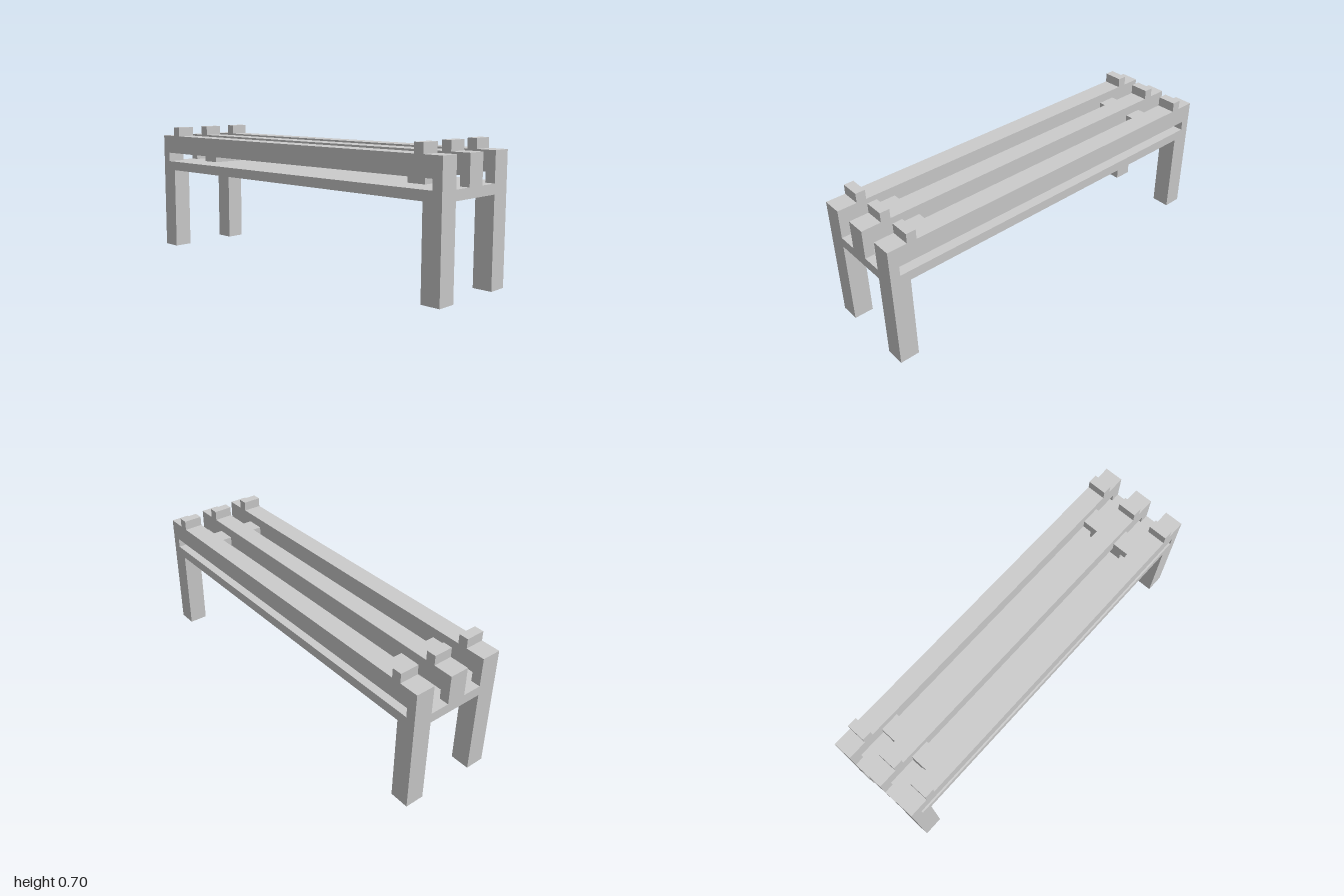
import * as THREE from 'three';

const material = new THREE.MeshStandardMaterial({ color: 0xcccccc, flatShading: true });

function addMesh(group, name, geometry, x, y, z) {
  const mesh = new THREE.Mesh(geometry, material);
  mesh.name = name;
  mesh.position.set(x, y, z);
  group.add(mesh);
  return mesh;
}

// Box given by its minimum and maximum corners
function addBox(group, name, [x0, y0, z0], [x1, y1, z1]) {
  const geometry = new THREE.BoxGeometry(x1 - x0, y1 - y0, z1 - z0);
  return addMesh(group, name, geometry, (x0 + x1) / 2, (y0 + y1) / 2, (z0 + z1) / 2);
}

// Long slotted rail with two raised pegs, with or without legs
function railGeometry(withLegs) {
  const half = [[1, 0.65], [0.9, 0.65], [0.9, 0.7], [0.85, 0.7], [0.85, 0.65]];
  const foot = withLegs ? [[0.9, 0.45], [0.9, 0], [1, 0]] : [[1, 0.45]];
  const right = [...foot, ...half];
  const left = right.map(([x, y]) => [-x, y]).reverse();
  const shape = new THREE.Shape([...right, ...left].map(([x, y]) => new THREE.Vector2(x, y)));

  const slot = [[-0.95, 0.5], [-0.95, 0.55], [0.95, 0.55], [0.95, 0.5]];
  shape.holes.push(new THREE.Path(slot.map(([x, y]) => new THREE.Vector2(x, y))));
  return new THREE.ExtrudeGeometry(shape, { depth: 0.1, bevelEnabled: false });
}

export function createModel() {
  const group = new THREE.Group();
  group.name = 'bench';

  // Outer rails with legs, and the middle rail
  addMesh(group, 'frontRailWithLegs', railGeometry(true), 0, 0, 0.15);
  addMesh(group, 'middleRail', railGeometry(false), 0, 0, -0.05);
  addMesh(group, 'backRailWithLegs', railGeometry(true), 0, 0, -0.25);

  // Deck strips closing the gaps between the rails
  addBox(group, 'frontDeckStrip', [-1, 0.45, 0.05], [1, 0.5, 0.15]);
  addBox(group, 'backDeckStrip', [-1, 0.45, -0.15], [1, 0.5, -0.05]);

  // Stepped cross braces near both ends
  for (const side of [-1, 1]) {
    const x0 = side * 0.75 - 0.05;
    const x1 = side * 0.75 + 0.05;
    const end = side > 0 ? 'left' : 'right';
    addBox(group, end + 'CrossBar', [x0, 0.55, -0.15], [x1, 0.6, 0.15]);
    addBox(group, end + 'CrossBarSpacer', [x0, 0.5, -0.1], [x1, 0.55, 0.1]);
  }

  return group;
}
